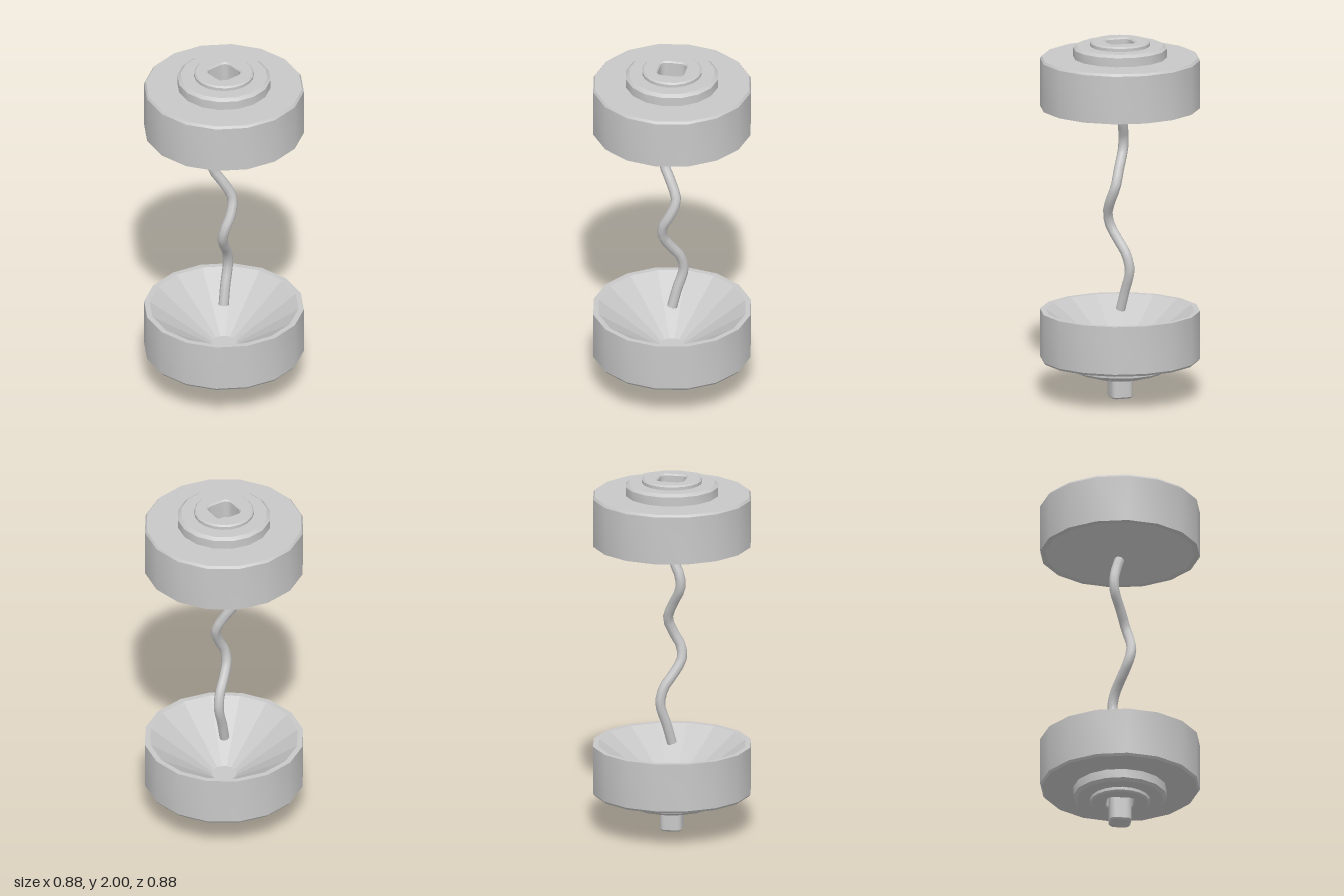
import * as THREE from 'three';
import { toCreasedNormals } from 'three/addons/utils/BufferGeometryUtils.js';

const grey = new THREE.MeshStandardMaterial({ color: 0xc8c8c8 });
grey.name = 'plain grey';

function add(parent, name, geometry) {
  const mesh = new THREE.Mesh(geometry, grey);
  mesh.name = name;
  parent.add(mesh);
  return mesh;
}

// Turned part with crisp chamfers; profile is [radius, y] pairs
function turned(profile, sides) {
  const points = profile.map(([r, y]) => new THREE.Vector2(r, y));
  return toCreasedNormals(new THREE.LatheGeometry(points, sides), Math.PI / 6);
}

// Outline of a square with rounded corners, counter-clockwise
function roundedSquare(half, corner) {
  const points = [];
  const steps = 4;
  for (let q = 0; q < 4; q++) {
    const mid = Math.PI / 4 + q * Math.PI / 2;
    const cx = Math.sign(Math.cos(mid)) * (half - corner);
    const cy = Math.sign(Math.sin(mid)) * (half - corner);
    for (let i = 0; i <= steps; i++) {
      const a = q * Math.PI / 2 + (i / steps) * Math.PI / 2;
      points.push(new THREE.Vector2(cx + corner * Math.cos(a), cy + corner * Math.sin(a)));
    }
  }
  return points;
}

// Stack of rounded squares; levels are [half width, y] pairs
function squareLoft(levels) {
  const positions = [], index = [];
  let n = 0;
  for (const [half, y] of levels) {
    const ring = roundedSquare(half, half * 0.5);
    n = ring.length;
    for (const p of ring) positions.push(p.x, y, -p.y);
  }
  for (let l = 0; l < levels.length - 1; l++) {
    for (let i = 0; i < n; i++) {
      const a = l * n + i, b = l * n + (i + 1) % n;
      index.push(a, b, a + n, b, b + n, a + n);
    }
  }
  const geometry = new THREE.BufferGeometry();
  geometry.setAttribute('position', new THREE.Float32BufferAttribute(positions, 3));
  geometry.setIndex(index);
  return toCreasedNormals(geometry, Math.PI / 6);
}

// Hollow cup with its rim at y = 0 and its stepped end at y = 0.37
function createCup(name) {
  const cup = new THREE.Group();
  cup.name = name;
  add(cup, 'cupBody', turned([[0.41, 0], [0.44, 0], [0.44, 0.267], [0.43, 0.28], [0.2, 0.28]], 16));
  add(cup, 'stepRing', turned([[0.257, 0.28], [0.257, 0.33], [0.238, 0.345], [0.14, 0.345]], 16));
  add(cup, 'endDisc', turned([[0.164, 0.345], [0.164, 0.362], [0.155, 0.37]], 20));

  // faceted funnel inside the cup
  const funnel = new THREE.LatheGeometry(
    [[0, 0.24], [0.07, 0.24], [0.41, 0]].map(([r, y]) => new THREE.Vector2(r, y)), 16).toNonIndexed();
  funnel.computeVertexNormals();
  add(cup, 'funnel', funnel);

  // end face with its square socket
  const face = new THREE.Shape(Array.from({ length: 20 }, (_, i) => {
    const a = i / 20 * Math.PI * 2;
    return new THREE.Vector2(0.155 * Math.cos(a), 0.155 * Math.sin(a));
  }));
  face.holes.push(new THREE.Path(roundedSquare(0.08, 0.04)));
  add(cup, 'endFace', new THREE.ShapeGeometry(face).rotateX(-Math.PI / 2).translate(0, 0.37, 0));
  add(cup, 'socket', squareLoft([[0.08, 0.37], [0.073, 0.362], [0.073, 0.26], [0, 0.26]]));
  return cup;
}

export function createModel() {
  const model = new THREE.Group();
  model.name = 'cupsAndWire';

  const upper = createCup('upperCup');
  upper.position.y = 1.63;
  const lower = createCup('lowerCup');
  lower.rotation.x = Math.PI;
  lower.position.y = 0.49;
  model.add(upper, lower);

  // square peg standing out of the lower socket
  add(model, 'peg', squareLoft([[0, 0], [0.053, 0], [0.06, 0.009], [0.06, 0.235]]));

  // wavy wire hanging between the cups
  const path = new THREE.CatmullRomCurve3([
    [-0.003, 0.492, 0], [-0.02, 0.6, -0.025], [-0.037, 0.72, -0.058], [-0.022, 0.81, -0.04],
    [0.008, 0.88, 0.005], [0.042, 0.96, 0.045], [0.058, 1.03, 0.038], [0.057, 1.1, 0],
    [0.035, 1.19, -0.03], [0.005, 1.28, 0.003], [-0.035, 1.38, 0.053], [-0.037, 1.45, 0.052],
    [-0.024, 1.52, 0.022], [-0.003, 1.592, 0],
  ].map(p => new THREE.Vector3(...p)));
  const radius = 0.028;
  add(model, 'wire', new THREE.TubeGeometry(path, 28, radius, 8));
  for (const t of [0, 1]) {
    const cap = add(model, 'wireEnd', new THREE.CircleGeometry(radius, 8));
    cap.position.copy(path.getPointAt(t));
    const outward = path.getTangentAt(t).multiplyScalar(t ? 1 : -1);
    cap.quaternion.setFromUnitVectors(new THREE.Vector3(0, 0, 1), outward);
  }
  return model;
}
